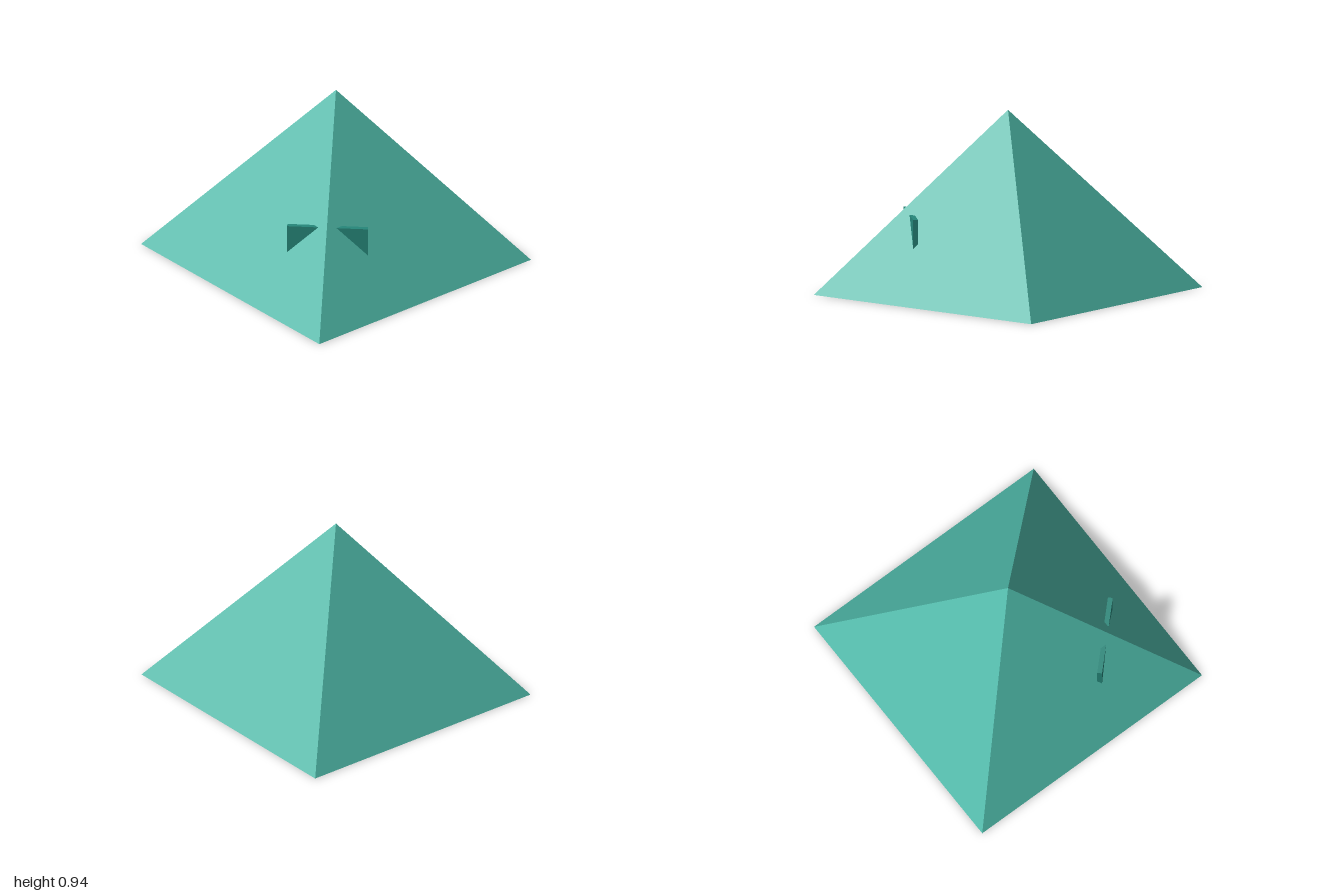
import * as THREE from 'three';

export function createModel() {
  const model = new THREE.Group();
  model.name = 'pyramidTent';

  const canvas = new THREE.MeshStandardMaterial({ color: 0x4db6a6, flatShading: true });
  canvas.name = 'lightTeal';
  const flap = new THREE.MeshStandardMaterial({ color: 0x26877a, flatShading: true });
  flap.name = 'darkTeal';

  const add = (name, geometry, material, x, y, z) => {
    const mesh = new THREE.Mesh(geometry, material);
    mesh.name = name;
    mesh.position.set(x, y, z);
    model.add(mesh);
  };

  // Four-sided body with a closed base, one ridge facing the front
  const height = 0.94;
  add('tentBody', new THREE.ConeGeometry(1, height, 4), canvas, 0, height / 2, 0);

  // Square door panel standing on the ground; its upper corners pierce the slopes
  const door = 0.414;
  add('doorPanel', new THREE.BoxGeometry(door, door, 0.025), flap, 0, door / 2, 0.5);

  return model;
}
